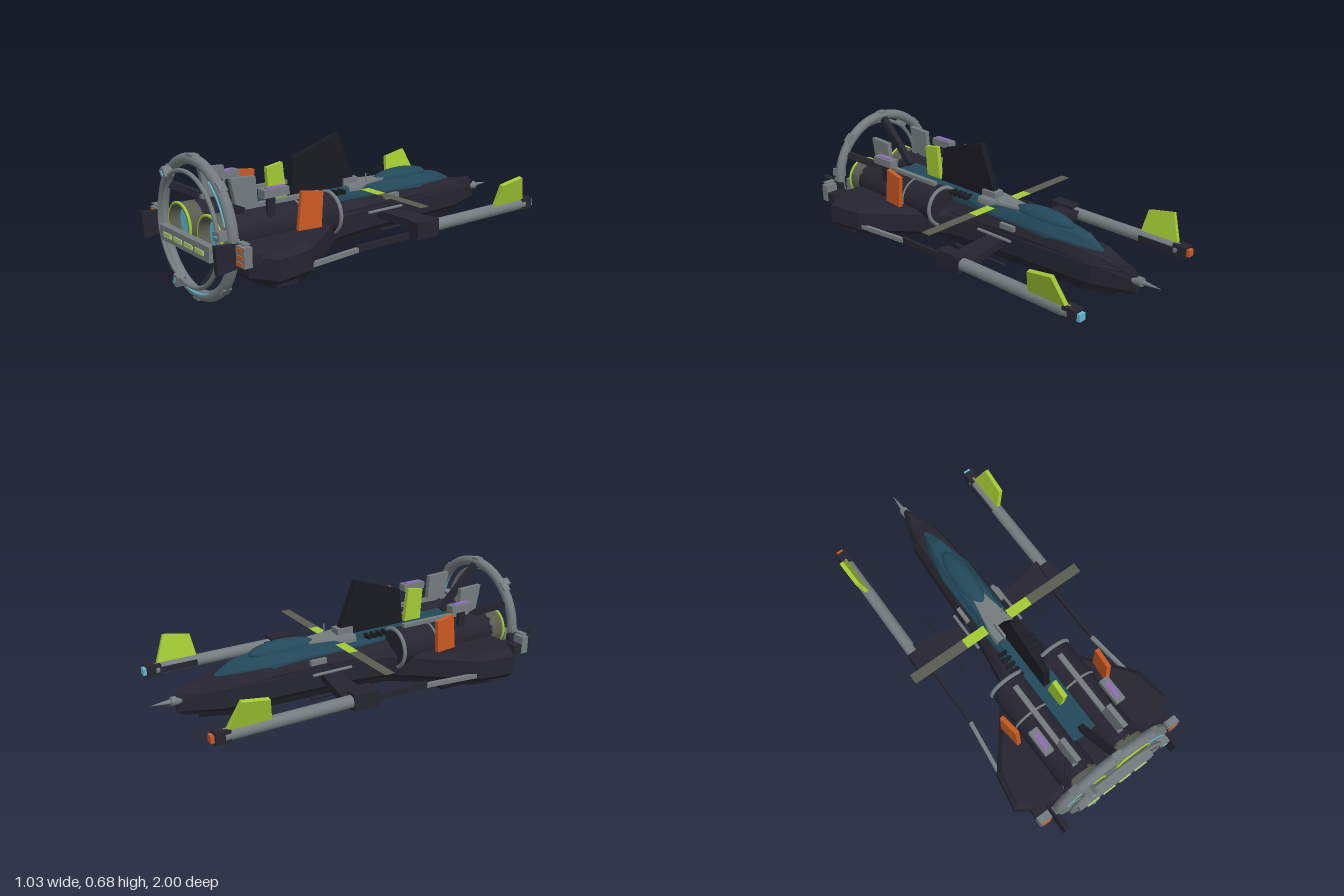
import * as THREE from 'three';

const mat = (name, color, side = THREE.FrontSide) => {
  const m = new THREE.MeshStandardMaterial({ color, side });
  m.name = name;
  return m;
};

export function createModel() {
  const dark = mat('dark navy', 0x262530), black = mat('near black', 0x1a1a22), teal = mat('teal', 0x23495a);
  const gray = mat('steel gray', 0x747b7e), lime = mat('lime', 0xa2c932), orange = mat('orange', 0xcb5a22);
  const cyan = mat('cyan glow', 0x63b8cf, THREE.DoubleSide), purple = mat('purple', 0x8c6bb5);
  const pale = mat('pale lime', 0xb2c774), olive = mat('olive gray', 0x5a5c50, THREE.DoubleSide);
  const limeSheet = lime;
  limeSheet.side = THREE.DoubleSide;

  const root = new THREE.Group();
  root.name = 'racingCraft';
  const add = (name, geo, m, x = 0, y = 0, z = 0) => {
    const mesh = new THREE.Mesh(geo, m);
    mesh.name = name;
    mesh.position.set(x, y, z);
    root.add(mesh);
    return mesh;
  };
  const box = (name, m, w, h, d, x, y, z) => add(name, new THREE.BoxGeometry(w, h, d), m, x, y, z);
  const rod = (name, m, r, len, x, y, z, r2 = r, n = 20) =>
    add(name, new THREE.CylinderGeometry(r, r2, len, n).rotateX(Math.PI / 2), m, x, y, z);
  const ring = (name, m, R, t, x, y, z, start = 0, arc = Math.PI * 2) =>
    add(name, new THREE.TorusGeometry(R, t, 12, 64, arc).rotateZ(start), m, x, y, z);
  // Box running between two points
  const beam = (name, m, a, b, w, h) => {
    const p = new THREE.Vector3(...a), q = new THREE.Vector3(...b);
    const mid = p.clone().add(q).multiplyScalar(0.5);
    const mesh = box(name, m, w, h, p.distanceTo(q), mid.x, mid.y, mid.z);
    mesh.lookAt(q);
    return mesh;
  };
  // Upright plate from [z, y] outline
  const plate = (name, m, pts, t, x = 0) => {
    const shape = new THREE.Shape(pts.map(p => new THREE.Vector2(...p)));
    const geo = new THREE.ExtrudeGeometry(shape, { depth: t, bevelEnabled: false });
    return add(name, geo.rotateY(-Math.PI / 2).translate(t / 2, 0, 0), m, x);
  };
  // Horizontal slab from one half of an [x, z] outline
  const slab = (name, m, half, y0, y1, bevel) => {
    const all = [...half, ...half.filter(p => p[0] > 0).reverse().map(([x, z]) => [-x, z])];
    const shape = new THREE.Shape(all.map(p => new THREE.Vector2(...p)));
    const geo = new THREE.ExtrudeGeometry(shape, {
      depth: y1 - y0 - 2 * bevel, bevelEnabled: bevel > 0, bevelSize: bevel,
      bevelThickness: bevel, bevelOffset: -bevel, bevelSegments: 1 });
    return add(name, geo.rotateX(Math.PI / 2), m, 0, y1 - bevel, 0);
  };
  // Six-sided loft; section = [z, bottom half, middle half, top half, y0, y1, y2]
  const loft = (name, m, sections) => {
    const pos = [], idx = [], last = (sections.length - 1) * 6;
    for (const [z, b, c, t, y0, y1, y2] of sections)
      pos.push(b, y0, z, c, y1, z, t, y2, z, -t, y2, z, -c, y1, z, -b, y0, z);
    for (let i = 0; i < last; i += 6)
      for (let j = 0; j < 6; j++) {
        const k = (j + 1) % 6;
        idx.push(i + j, i + k, i + 6 + k, i + j, i + 6 + k, i + 6 + j);
      }
    for (let j = 1; j < 5; j++) idx.push(0, j + 1, j, last, last + j, last + j + 1);
    let geo = new THREE.BufferGeometry();
    geo.setAttribute('position', new THREE.Float32BufferAttribute(pos, 3));
    geo.setIndex(idx);
    geo = geo.toNonIndexed();
    geo.computeVertexNormals();
    return add(name, geo, m);
  };

  // Hull
  slab('lowerHull', dark, [[0, -0.88], [0.085, -0.67], [0.1, -0.4], [0.118, 0], [0.15, 0.21],
    [0.445, 0.58], [0.477, 0.77], [0.36, 0.85]], 0.17, 0.315, 0.025);
  slab('keelPlate', black, [[0, -0.77], [0.06, -0.62], [0.09, 0], [0.12, 0.24],
    [0.39, 0.59], [0.41, 0.75], [0.3, 0.78]], 0.14, 0.18, 0);
  loft('upperHull', dark, [[-0.88, 0.012, 0.014, 0.01, 0.2, 0.25, 0.28], [-0.67, 0.08, 0.083, 0.06, 0.2, 0.29, 0.335],
    [-0.4, 0.095, 0.097, 0.08, 0.2, 0.31, 0.35], [0, 0.115, 0.117, 0.09, 0.2, 0.31, 0.35],
    [0.3, 0.15, 0.14, 0.09, 0.2, 0.31, 0.35]]);
  loft('spine', teal, [[-0.68, 0.012, 0.01, 0.006, 0.31, 0.33, 0.34], [-0.58, 0.05, 0.047, 0.03, 0.31, 0.35, 0.385],
    [-0.4, 0.086, 0.083, 0.055, 0.32, 0.36, 0.402], [0, 0.088, 0.085, 0.06, 0.32, 0.36, 0.405],
    [0.25, 0.072, 0.07, 0.065, 0.32, 0.36, 0.405], [0.69, 0.07, 0.07, 0.065, 0.32, 0.36, 0.405]]);
  add('canopy', new THREE.SphereGeometry(1, 32, 20).scale(0.056, 0.045, 0.18), teal, 0, 0.4, -0.32);
  box('engineBed', dark, 0.38, 0.06, 0.57, 0, 0.31, 0.56);
  rod('noseSocket', gray, 0.022, 0.05, 0, 0.255, -0.88);
  rod('noseSpike', gray, 0.015, 0.12, 0, 0.255, -0.94, 0.001);
  loft('deckPlate', gray, [[-0.21, 0.03, 0.03, 0.028, 0.39, 0.4, 0.415],
    [0, 0.072, 0.07, 0.065, 0.38, 0.4, 0.415], [0.07, 0.072, 0.07, 0.065, 0.38, 0.4, 0.415]]);
  box('deckHousing', gray, 0.06, 0.04, 0.09, 0, 0.425, 0.03);
  rod('aerial', gray, 0.004, 0.06, 0.05, 0.43, -0.05).rotation.x = Math.PI / 2;

  // Dorsal fins and flat cross blade
  plate('dorsalFin', black, [[0.39, 0.4], [0.37, 0.59], [0.1, 0.68], [-0.01, 0.4]], 0.036);
  plate('rearDorsalFin', lime, [[0.51, 0.4], [0.52, 0.565], [0.43, 0.58], [0.41, 0.4]], 0.024);
  for (const s of [1, -1]) {
    const sheet = (name, m, x0, x1) =>
      add(name, new THREE.PlaneGeometry(x1 - x0, 0.054).rotateX(-Math.PI / 2), m, s * (x0 + x1) / 2, 0.387, -0.027);
    sheet('bladeRoot', limeSheet, 0.05, 0.2);
    sheet('bladeTip', olive, 0.2, 0.515);
  }

  // Mirrored parts
  for (const s of [1, -1]) {
    // Engine nacelle and exhaust
    const ex = s * 0.137, ey = 0.33;
    rod('nacelle', dark, 0.1, 0.58, ex, ey, 0.54, 0.1, 32);
    ring('nacelleFrontRing', gray, 0.1, 0.01, ex, ey, 0.255);
    ring('nacelleBand', gray, 0.097, 0.007, ex, ey, 0.46);
    const nozzle = [[0.085, 0.82], [0.1, 0.82], [0.1, 0.91], [0.09, 0.91], [0.08, 0.835]]
      .map(p => new THREE.Vector2(...p));
    add('nozzle', new THREE.LatheGeometry(nozzle, 32).rotateX(Math.PI / 2), gray, ex, ey, 0).material = olive;
    ring('nozzleRim', lime, 0.1, 0.007, ex, ey, 0.905);
    add('exhaustGlow', new THREE.CircleGeometry(0.081, 32), cyan, ex, ey, 0.86);
    box('nacelleRail', gray, 0.026, 0.025, 0.48, ex, 0.435, 0.55);
    plate('nacelleFin', gray, [[0.77, 0.42], [0.8, 0.58], [0.67, 0.575], [0.66, 0.42]], 0.026, ex);

    // Sensor pods
    box('sensorPod', gray, 0.05, 0.038, 0.135, s * 0.212, 0.507, 0.615);
    box('sensorLight', purple, 0.026, 0.006, 0.09, s * 0.212, 0.528, 0.615);
    box('sensorMount', dark, 0.018, 0.12, 0.04, s * 0.205, 0.44, 0.63);

    // Orange side fins, hull slats
    const fin = plate('sideFin', orange, [[0.07, -0.09], [0.05, 0.09], [-0.06, 0.075], [-0.05, -0.09]], 0.022, s * 0.282);
    fin.position.set(s * 0.282, 0.415, 0.465);
    fin.rotation.y = s * -0.12;
    for (let i = 0; i < 5; i++) box('ventSlat', black, 0.05, 0.02, 0.018, s * 0.08, 0.4, 0.13 + i * 0.035);
    box('hullBlock', gray, 0.02, 0.026, 0.09, s * 0.108, 0.335, -0.175);

    // Boom with its fin
    const bx = s * 0.42, by = 0.248;
    rod('boom', gray, 0.031, 0.66, bx, by, -0.5);
    box('boomTip', dark, 0.055, 0.06, 0.075, bx, by, -0.84);
    box('boomCap', s > 0 ? cyan : orange, 0.036, 0.035, 0.02, bx, by, -0.885);
    box('boomSleeve', dark, 0.066, 0.085, 0.14, bx, by, -0.11);
    box('boomInnerStrip', dark, 0.02, 0.03, 0.2, s * 0.393, by, -0.71);
    const boomFin = plate('boomFin', lime, [[-0.6, 0], [-0.62, 0.125], [-0.76, 0.15], [-0.82, 0]], 0.022);
    boomFin.position.set(s * 0.425, 0.265, 0);
    boomFin.rotation.z = s * -0.26;
    // Boom arm, small rods and trailing rail
    slab('arm', dark, [[0.05, -0.15], [0.4, -0.22], [0.4, -0.09], [0.05, -0.07]], 0.235, 0.275, 0);
    rod('outerRod', dark, 0.008, 0.33, s * 0.26, 0.225, -0.135, 0.008, 8);
    rod('innerRod', gray, 0.008, 0.22, s * 0.137, 0.28, -0.11, 0.008, 8);
    beam('railFront', dark, [s * 0.388, 0.215, -0.04], [s * 0.39, 0.215, 0.28], 0.016, 0.03);
    beam('railRear', gray, [s * 0.39, 0.21, 0.28], [s * 0.425, 0.21, 0.57], 0.02, 0.022);

    // Rear corner thrusters and tail vanes
    box('cornerThruster', gray, 0.066, 0.09, 0.04, s * 0.391, 0.31, 0.89);
    box('thrusterMount', dark, 0.1, 0.05, 0.06, s * 0.37, 0.29, 0.85);
    for (let i = 0; i < 3; i++) box('thrusterLight', orange, 0.044, 0.014, 0.008, s * 0.391, 0.28 + i * 0.03, 0.911);
    box('thrusterCover', gray, 0.055, 0.006, 0.03, s * 0.391, 0.367, 0.89);
    plate('tailVane', dark, [[0.84, 0.25], [0.995, 0.232], [1, 0.362], [0.85, 0.35]], 0.026, s * 0.336);

    // Skids
    box('rearSkid', black, 0.045, 0.016, 0.27, s * 0.29, 0.124, 0.575);
    box('rearSkidLeg', black, 0.025, 0.03, 0.1, s * 0.29, 0.14, 0.575);
    box('edgeBlock', dark, 0.025, 0.025, 0.1, s * 0.42, 0.162, 0.7);
  }
  box('noseSkid', black, 0.045, 0.016, 0.18, 0, 0.124, -0.52);
  box('noseSkidLeg', black, 0.025, 0.03, 0.08, 0, 0.14, -0.52);

  // Tail ring with struts
  const cy = 0.342, rad = d => d * Math.PI / 180;
  const polar = (r, d, z) => [r * Math.cos(rad(d)), cy + r * Math.sin(rad(d)), z];
  ring('tailRing', gray, 0.314, 0.026, 0, cy, 0.895);
  ring('innerRing', gray, 0.267, 0.01, 0, cy, 0.94);
  for (const d of [30, 90, 150, 270])
    beam('ringStrut', dark, polar(0.3, d, 0.88), polar(d === 270 ? 0.17 : 0.08, d, d === 270 ? 0.75 : 0.66), 0.032, 0.032);
  for (const [start, arc] of [[15, 40], [135, 26], [257, 40]])
    ring('ringGlow', cyan, 0.302, 0.006, 0, cy, 0.919, rad(start), rad(arc));
  for (const d of [8, 128, 248]) {
    box('ringClamp', gray, 0.055, 0.04, 0.045, ...polar(0.288, d, 0.937)).rotation.z = rad(d);
    box('clampLight', cyan, 0.025, 0.007, 0.006, ...polar(0.288, d, 0.961)).rotation.z = rad(d);
  }
  for (let d = 0; d < 360; d += 45)
    box('ringLug', gray, 0.014, 0.05, 0.04, ...polar(0.332, d, 0.895)).rotation.z = rad(d);

  // Rear light bar
  box('lightBar', gray, 0.45, 0.072, 0.035, 0, 0.284, 0.945);
  for (let i = 0; i < 4; i++) box('barLight', pale, 0.072, 0.022, 0.008, -0.146 + i * 0.0973, 0.283, 0.965);
  return root;
}
